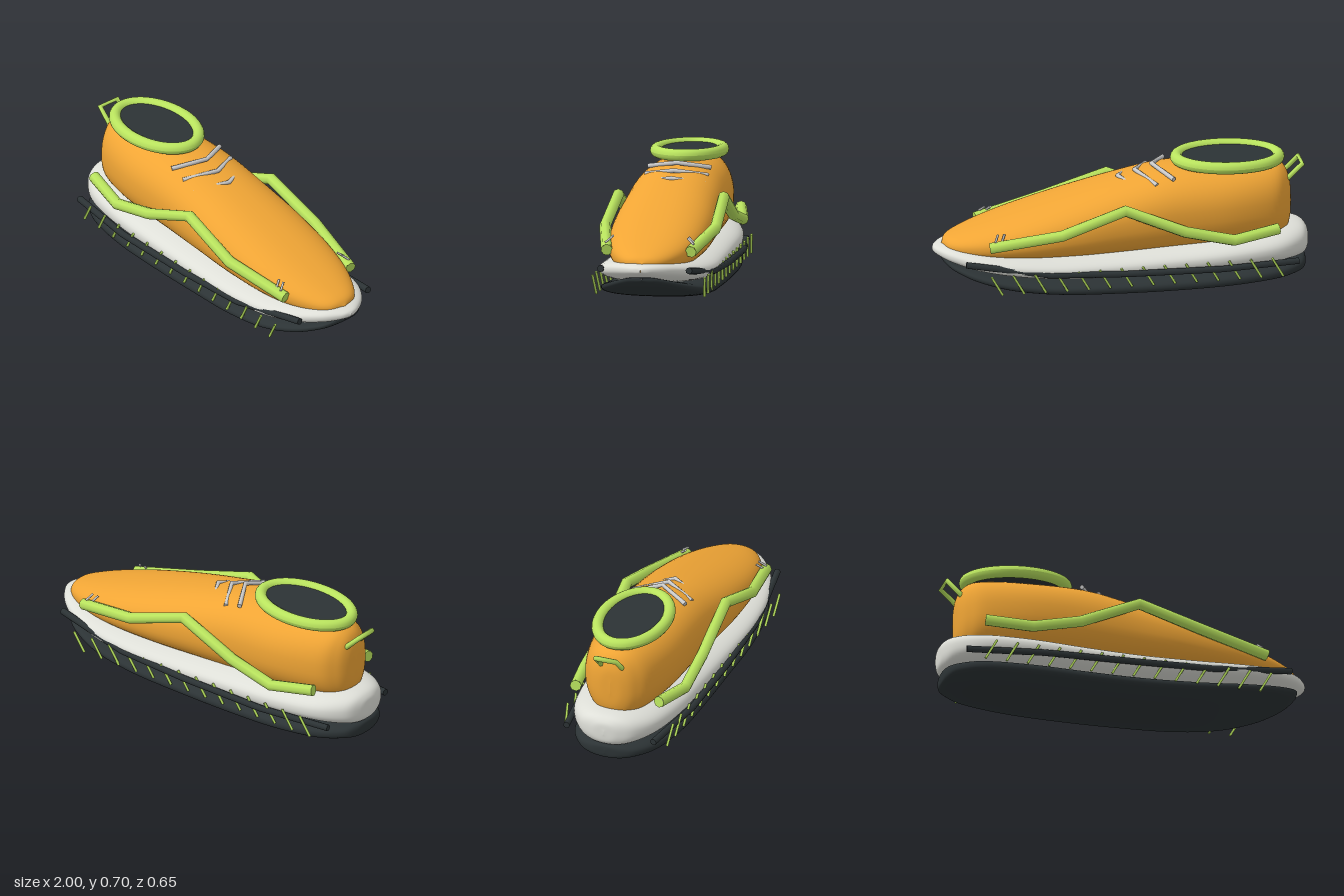
import * as THREE from 'three';

const paint = (color) => new THREE.MeshStandardMaterial({ color });
const ORANGE = paint(0xf0a535), WHITE = paint(0xdedfd8), DARK = paint(0x2c3335), GREEN = paint(0xb9e35e), LACE = paint(0xdcdcdc);

// Closed skin through stations [x, bottom, top, halfWidth], with superelliptic cross-sections
function loft(stations, power, steps = 72, sides = 56) {
  const spine = new THREE.CatmullRomCurve3(stations.map(([x, b, t]) => new THREE.Vector3(x, b, t)), false, 'catmullrom', 0.5);
  const girth = new THREE.CatmullRomCurve3(stations.map((s) => new THREE.Vector3(s[3], 0, 0)), false, 'catmullrom', 0.5);
  const bend = (v) => Math.sign(v) * Math.abs(v) ** (2 / power);
  const pos = [], index = [];
  for (let i = 0; i <= steps; i++) {
    const p = spine.getPoint(i / steps);
    const w = Math.max(girth.getPoint(i / steps).x, 0.0005);
    for (let j = 0; j < sides; j++) {
      const a = (j / sides) * Math.PI * 2;
      pos.push(p.x, (p.y + p.z) / 2 + bend(Math.sin(a)) * (p.z - p.y) / 2, bend(Math.cos(a)) * w);
      if (i < steps) {
        const k = i * sides + j, n = i * sides + (j + 1) % sides;
        index.push(k, k + sides, n, n, k + sides, n + sides);
      }
    }
  }
  const g = new THREE.BufferGeometry();
  g.setAttribute('position', new THREE.Float32BufferAttribute(pos, 3));
  g.setIndex(index);
  g.computeVertexNormals();
  return g;
}

// Straight-sided path with one ring at each corner
class Polyline extends THREE.Curve {
  constructor(points) { super(); this.points = points.map((p) => new THREE.Vector3(...p)); }
  getUtoTmapping(u) { return u; }
  getPoint(t, target = new THREE.Vector3()) {
    const n = this.points.length - 1, f = Math.min(Math.max(t, 0), 1) * n, i = Math.min(Math.floor(f), n - 1);
    return target.lerpVectors(this.points[i], this.points[i + 1], f - i);
  }
}

export function createModel() {
  const model = new THREE.Group();
  const add = (name, geometry, material, parent = model) => {
    const mesh = new THREE.Mesh(geometry, material);
    mesh.name = name;
    parent.add(mesh);
    return mesh;
  };

  // Capped bar along a bent path
  const bar = (name, points, radius, material, sides = 8, parent = model) => {
    const path = new Polyline(points);
    const group = new THREE.Group();
    group.name = name;
    parent.add(group);
    add(name + 'Tube', new THREE.TubeGeometry(path, points.length - 1, radius, sides), material, group);
    for (const end of [0, 1]) {
      const cap = add(name + 'End', new THREE.CircleGeometry(radius, sides), material, group);
      const out = path.getTangent(end).multiplyScalar(end ? 1 : -1);
      cap.position.copy(path.getPoint(end));
      cap.quaternion.setFromUnitVectors(new THREE.Vector3(0, 0, 1), out);
    }
  };

  // Sole layers and upper
  add('outsole', loft([
    [-0.985, 0.06, 0.08, 0], [-0.975, 0.035, 0.105, 0.09], [-0.93, 0.025, 0.115, 0.165], [-0.8, 0.013, 0.12, 0.24],
    [-0.55, 0.004, 0.115, 0.28], [-0.25, 0, 0.11, 0.285], [0.05, 0.006, 0.11, 0.285], [0.35, 0.025, 0.12, 0.29],
    [0.6, 0.06, 0.145, 0.275], [0.78, 0.105, 0.175, 0.22], [0.89, 0.15, 0.2, 0.145], [0.935, 0.18, 0.212, 0.08], [0.95, 0.195, 0.21, 0],
  ], 2.5), DARK);
  add('midsole', loft([
    [-1, 0.18, 0.2, 0], [-0.99, 0.13, 0.25, 0.08], [-0.94, 0.105, 0.28, 0.165], [-0.8, 0.1, 0.285, 0.245],
    [-0.55, 0.097, 0.275, 0.285], [-0.25, 0.092, 0.26, 0.29], [0.05, 0.092, 0.25, 0.295], [0.35, 0.105, 0.252, 0.302],
    [0.6, 0.135, 0.265, 0.285], [0.78, 0.165, 0.28, 0.235], [0.91, 0.2, 0.287, 0.15], [0.98, 0.23, 0.275, 0.06], [1, 0.248, 0.258, 0],
  ], 2.4), WHITE);
  add('upper', loft([
    [-0.908, 0.38, 0.44, 0], [-0.9, 0.29, 0.53, 0.07], [-0.865, 0.23, 0.6, 0.13], [-0.78, 0.21, 0.63, 0.19],
    [-0.55, 0.2, 0.64, 0.24], [-0.25, 0.195, 0.637, 0.255], [0, 0.19, 0.59, 0.26], [0.25, 0.19, 0.527, 0.265],
    [0.5, 0.195, 0.457, 0.25], [0.7, 0.205, 0.397, 0.21], [0.84, 0.22, 0.352, 0.15], [0.92, 0.24, 0.32, 0.085], [0.95, 0.27, 0.285, 0],
  ], 2.3), ORANGE);

  // Ankle collar and its dark opening
  const collar = new THREE.Group();
  collar.name = 'collar';
  collar.position.set(-0.575, 0.658, 0);
  collar.rotation.z = 0.035;
  model.add(collar);
  const ring = new THREE.TorusGeometry(1, 0.032, 16, 72).rotateX(Math.PI / 2);
  const p = ring.attributes.position;
  for (let i = 0; i < p.count; i++) { // oval path, keeping the tube round
    const x = p.getX(i), z = p.getZ(i), r = Math.hypot(x, z);
    p.setXYZ(i, (x / r) * (0.271 + r - 1), p.getY(i), (z / r) * (0.172 + r - 1));
  }
  ring.computeVertexNormals();
  add('collarRing', ring, GREEN, collar);
  const opening = add('opening', new THREE.CylinderGeometry(1, 1, 0.024, 56), DARK, collar);
  opening.scale.set(0.265, 1, 0.167);

  // Heel pull loop
  bar('pullLoop', [[-0.87, 0.52, 0.058], [-0.965, 0.61, 0.058], [-0.965, 0.61, -0.058], [-0.87, 0.52, -0.058]], 0.014, GREEN);

  // Chevron laces
  for (let i = 0; i < 3; i++) {
    const x = -0.26 + i * 0.09, y = 0.615 - i * 0.028;
    bar('lace', [[x, y, 0.165], [x + 0.09, y + 0.034, 0], [x, y, -0.165]], 0.012, LACE);
  }

  // Trim repeated on both flanks
  for (const s of [1, -1]) {
    const side = new THREE.Group();
    side.name = s > 0 ? 'leftTrim' : 'rightTrim';
    model.add(side);
    const flank = (name, points, radius, material, sides) =>
      bar(name, points.map(([x, y, z]) => [x, y, z * s]), radius, material, sides, side);

    flank('sideStripe', [[-0.805, 0.325, 0.235], [-0.56, 0.297, 0.285], [-0.3, 0.36, 0.28],
      [0.02, 0.502, 0.28], [0.36, 0.39, 0.293], [0.73, 0.32, 0.223]], 0.031, GREEN, 8);
    flank('soleRail', [[-0.91, 0.14, 0.245], [-0.5, 0.145, 0.3], [0, 0.155, 0.303],
      [0.42, 0.173, 0.292], [0.86, 0.24, 0.235]], 0.018, DARK, 8);
    for (let i = 0; i < 14; i++) {
      const x = -0.79 + i * 0.115;
      flank('soleStitch', [[x - 0.03, 0.078, 0.287], [x + 0.03, 0.185, 0.298]], 0.007, GREEN, 6);
    }
    for (const x of [0.65, 0.685]) {
      flank('toeStitch', [[x, 0.385, 0.2], [x + 0.02, 0.355, 0.235]], 0.006, LACE, 6);
    }
  }
  return model;
}
